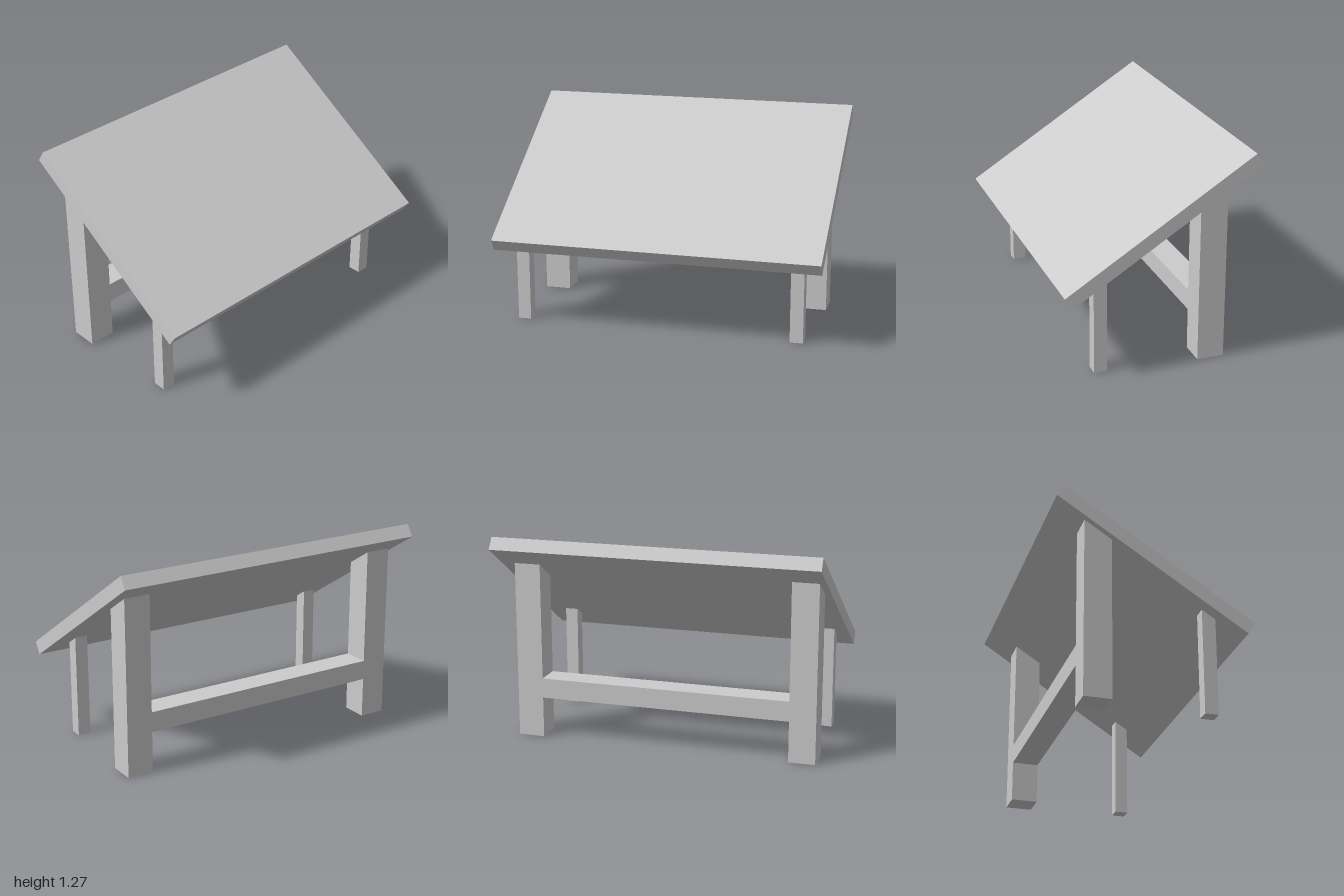
import * as THREE from 'three';

const material = new THREE.MeshStandardMaterial({ color: 0xcccccc, flatShading: true });

// Height of the sloping underside of the top at a given depth
const underside = (z) => 0.828 - 0.6356 * z;

// Side profile of [z, y] points, extruded from x0 to x1
function prism(name, points, x0, x1) {
  const shape = new THREE.Shape(points.map(([z, y]) => new THREE.Vector2(z, y)));
  const geometry = new THREE.ExtrudeGeometry(shape, { depth: x1 - x0, bevelEnabled: false });
  geometry.rotateY(-Math.PI / 2).translate(x1, 0, 0);
  const mesh = new THREE.Mesh(geometry, material);
  mesh.name = name;
  return mesh;
}

// Square leg whose top is cut to the slope
function leg(name, x, zBack, zFront, width) {
  const profile = [[zBack, 0], [zFront, 0], [zFront, underside(zFront)], [zBack, underside(zBack)]];
  return prism(name, profile, x - width / 2, x + width / 2);
}

export function createModel() {
  const table = new THREE.Group();
  table.name = 'slantedTable';

  // Tilted slab
  table.add(prism('tableTop', [[0.54, 0.485], [0.585, 0.555], [-0.54, 1.27], [-0.585, 1.2]], -1, 1));

  // Short slim legs in front, tall thick legs behind
  for (const [side, x] of [['Left', 0.832], ['Right', -0.878]]) {
    table.add(leg('frontLeg' + side, x, 0.295, 0.375, 0.08));
    table.add(leg('backLeg' + side, x, -0.412, -0.249, 0.162));
  }

  // Beam between the back legs, as deep as they are
  table.add(prism('stretcher', [[-0.412, 0.252], [-0.249, 0.252], [-0.249, 0.375], [-0.412, 0.375]], -0.797, 0.751));

  return table;
}
